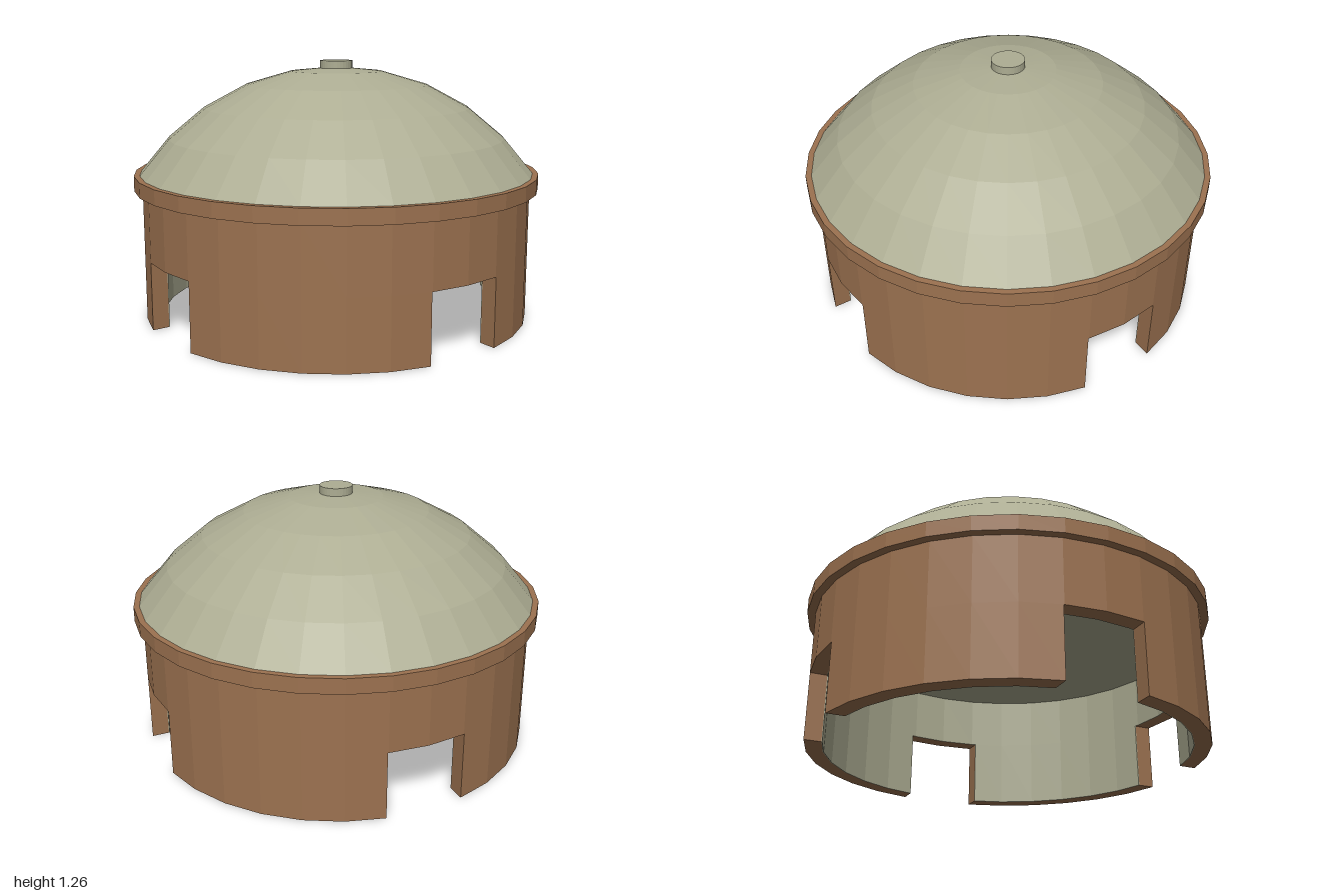
import * as THREE from 'three';

const SIDES = 32, R_OUT = 0.96, R_IN = 0.88, LINER = 0.004;
const DOOR_HALF = 0.19, DOOR_TOP = 0.33, WALL_TOP = 0.645, RIM_TOP = 0.715, CEILING = 0.59;

const brown = new THREE.MeshStandardMaterial({ color: 0x9c7250 });
brown.name = 'clayBrown';
const sage = new THREE.MeshStandardMaterial({ color: 0xadad93 });
sage.name = 'sageGreen';

// faceted mesh with one normal per face
function part(name, geometry, material) {
  const geo = geometry.index ? geometry.toNonIndexed() : geometry;
  geo.computeVertexNormals();
  const mesh = new THREE.Mesh(geo, material);
  mesh.name = name;
  return mesh;
}

function lathe(name, profile, material) {
  const points = profile.map(([r, y]) => new THREE.Vector2(r, y));
  return part(name, new THREE.LatheGeometry(points, SIDES), material);
}

// solid ring with a rectangular section
function ring(name, rIn, rOut, y0, y1, material) {
  return lathe(name, [[rIn, y0], [rOut, y0], [rOut, y1], [rIn, y1], [rIn, y0]], material);
}

// one quadrant of a faceted circle, trimmed by the straight doorway sides
function arc(r) {
  const at = (k) => {
    const a = (k / SIDES) * Math.PI * 2;
    return new THREE.Vector2(r * Math.cos(a), r * Math.sin(a));
  };
  let first = 1;
  while (at(first).y <= DOOR_HALF) first++;
  const a = at(first - 1), b = at(first);
  const start = a.lerp(b, (DOOR_HALF - a.y) / (b.y - a.y));
  const points = [start];
  for (let k = first; k <= SIDES / 4 - first; k++) points.push(at(k));
  points.push(new THREE.Vector2(start.y, start.x));
  return points;
}

function postGeometry(rIn, rOut) {
  const shape = new THREE.Shape([...arc(rOut), ...arc(rIn).reverse()]);
  const geo = new THREE.ExtrudeGeometry(shape, { depth: DOOR_TOP, bevelEnabled: false });
  return geo.rotateX(-Math.PI / 2);
}

export function createModel() {
  const model = new THREE.Group();
  model.name = 'domedHut';

  // four curved wall posts between the doorways, lined inside
  for (let i = 0; i < 4; i++) {
    const post = new THREE.Group();
    post.name = 'wallPost';
    post.add(part('postOuter', postGeometry(R_IN, R_OUT), brown));
    post.add(part('postLining', postGeometry(R_IN - LINER, R_IN), sage));
    post.rotation.y = (i * Math.PI) / 2;
    model.add(post);
  }

  // continuous wall above the doorways
  model.add(ring('upperWall', R_IN, R_OUT, DOOR_TOP, WALL_TOP, brown));
  model.add(ring('upperLining', R_IN - LINER, R_IN, DOOR_TOP, CEILING, sage));

  // flat ceiling facing down
  const disc = new THREE.CircleGeometry(R_IN, SIDES).rotateX(Math.PI / 2);
  disc.translate(0, CEILING, 0);
  model.add(part('ceiling', disc, sage));

  // overhanging rim
  model.add(ring('rim', 0.9, 1, WALL_TOP - 0.003, RIM_TOP, brown));

  // shallow faceted dome
  model.add(lathe('dome', [
    [0.972, RIM_TOP], [0.83, 0.885], [0.655, 1.03], [0.45, 1.14], [0.228, 1.205], [0, 1.227],
  ], sage));

  // small cap on the dome
  const cap = part('cap', new THREE.CylinderGeometry(0.08, 0.08, 0.055, SIDES), sage);
  cap.position.y = 1.2295;
  model.add(cap);

  return model;
}
